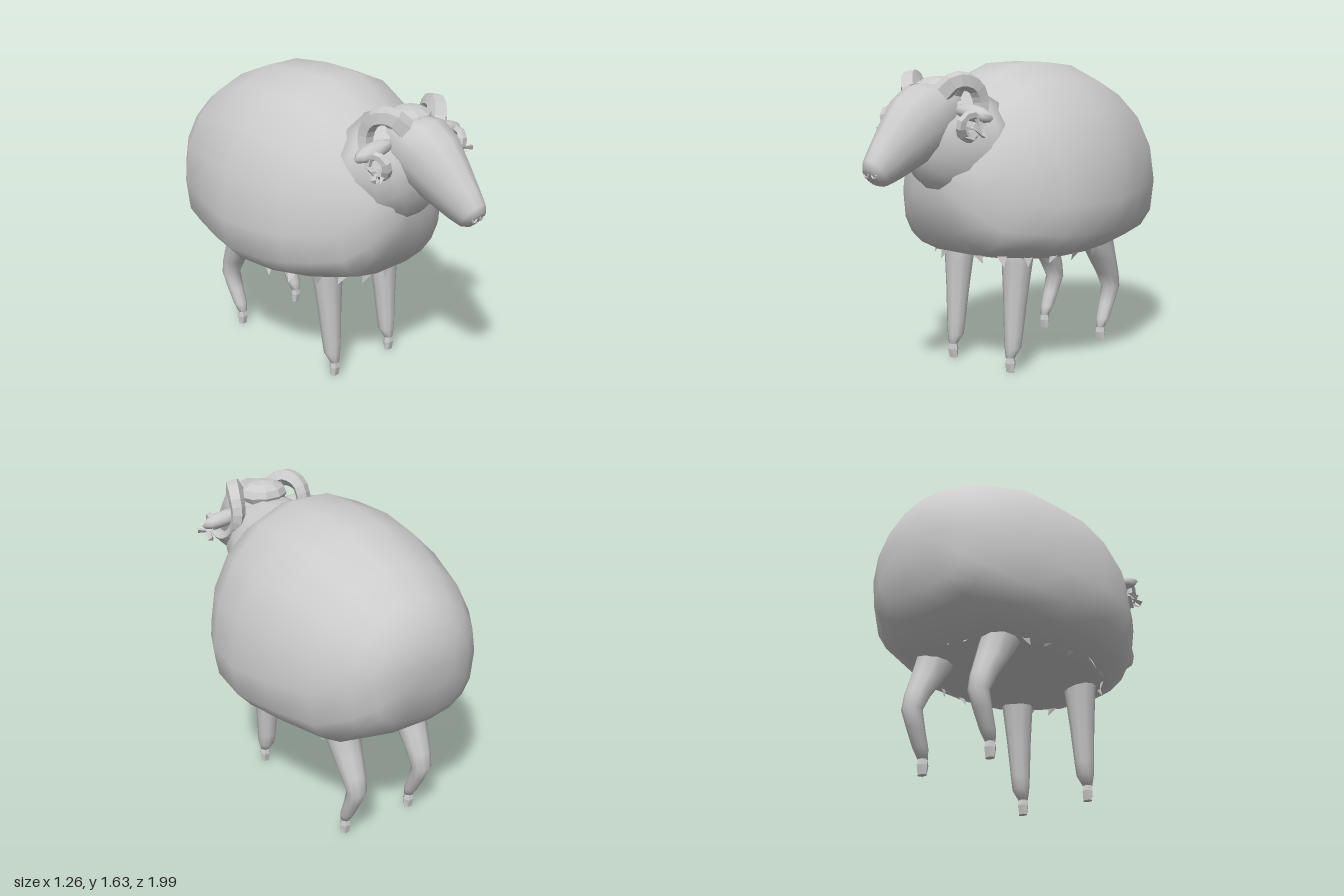
import * as THREE from 'three';

const grey = new THREE.MeshStandardMaterial({ color: 0xcccccc, side: THREE.DoubleSide });
const flat = new THREE.MeshStandardMaterial({ color: 0xcccccc, side: THREE.DoubleSide, flatShading: true });

function add(parent, name, geometry, material = grey) {
  const mesh = new THREE.Mesh(geometry, material);
  mesh.name = name;
  parent.add(mesh);
  return mesh;
}

// Skin over rings. Section: centre x, y, z, half width along x, half depth up, half depth down,
// tilt of the ring about x (0 = upright ring, PI/2 = level ring), squareness of the lower half.
function loft(sections, seg) {
  const pos = [], idx = [];
  for (const [cx, cy, cz, w, up, down = up, tilt = 0, low = 1] of sections) {
    for (let j = 0; j < seg; j++) {
      const a = (j / seg) * Math.PI * 2, c = Math.cos(a), s = Math.sin(a);
      const e = s < -1e-6 ? low : 1;
      const x = Math.sign(c) * Math.abs(c) ** e * w;
      const v = Math.sign(s) * Math.abs(s) ** e * (s > 0 ? up : down);
      pos.push(cx + x, cy + v * Math.cos(tilt), cz + v * Math.sin(tilt));
    }
  }
  const last = sections.length - 1;
  for (let i = 0; i < last; i++) {
    for (let j = 0; j < seg; j++) {
      const k = (j + 1) % seg, a = i * seg + j, b = i * seg + k;
      idx.push(a, b, a + seg, b, b + seg, a + seg);
    }
  }
  // end caps
  for (const [i, front] of [[0, false], [last, true]]) {
    const centre = pos.length / 3;
    pos.push(...sections[i].slice(0, 3));
    for (let j = 0; j < seg; j++) {
      const a = i * seg + j, b = i * seg + ((j + 1) % seg);
      idx.push(centre, front ? a : b, front ? b : a);
    }
  }
  const g = new THREE.BufferGeometry();
  g.setAttribute('position', new THREE.Float32BufferAttribute(pos, 3));
  g.setIndex(idx);
  g.computeVertexNormals();
  return g;
}

// Tube whose radius shrinks along its path
function taperedTube(points, steps, sides, r0, r1) {
  const path = new THREE.CatmullRomCurve3(points.map(p => new THREE.Vector3(...p)));
  const g = new THREE.TubeGeometry(path, steps, 1, sides);
  const p = g.attributes.position, v = new THREE.Vector3();
  for (let i = 0; i < p.count; i++) {
    const t = Math.floor(i / (sides + 1)) / steps, c = path.getPointAt(t);
    v.fromBufferAttribute(p, i).sub(c).multiplyScalar(r0 + (r1 - r0) * t).add(c);
    p.setXYZ(i, v.x, v.y, v.z);
  }
  g.computeVertexNormals();
  return g;
}

let seed = 7;
const rand = () => (seed = (seed * 16807) % 2147483647) / 2147483647;

export function createModel() {
  const sheep = new THREE.Group();
  sheep.name = 'sheep';

  // Woolly body, rump to chest: z, top, bottom, half width, height of widest point
  const rows = [
    [-0.99, 1.2, 0.96, 0.16, 1.08], [-0.95, 1.3, 0.8, 0.28, 1.05], [-0.88, 1.4, 0.71, 0.38, 1.02],
    [-0.72, 1.51, 0.61, 0.5, 0.97], [-0.46, 1.62, 0.6, 0.58, 0.95], [-0.22, 1.645, 0.59, 0.63, 0.93],
    [0.02, 1.64, 0.59, 0.6, 0.93], [0.14, 1.59, 0.6, 0.55, 0.93], [0.28, 1.49, 0.63, 0.47, 0.94],
    [0.4, 1.4, 0.66, 0.37, 0.95], [0.49, 1.28, 0.77, 0.27, 1.0], [0.55, 1.18, 0.92, 0.15, 1.05],
  ];
  add(sheep, 'body', loft(rows.map(([z, t, b, w, y]) => [0, y, z, w, t - y, y - b, 0, 0.68]), 18));

  // Neck rising from the chest into the skull
  add(sheep, 'neck', loft([
    [0, 1.2, 0.2, 0.34, 0.31, 0.3], [0, 1.22, 0.36, 0.3, 0.28, 0.3],
    [0, 1.24, 0.5, 0.24, 0.27, 0.28], [0, 1.27, 0.6, 0.17, 0.2, 0.22], [0, 1.3, 0.66, 0.1, 0.1, 0.14],
  ], 14));

  // Long sloping head
  const tilt = 0.65;
  add(sheep, 'head', loft([
    [0, 1.47, 0.4, 0.08, 0.06, 0.08, tilt], [0, 1.44, 0.46, 0.14, 0.13, 0.15, tilt],
    [0, 1.4, 0.56, 0.17, 0.18, 0.2, tilt], [0, 1.33, 0.66, 0.155, 0.19, 0.18, tilt],
    [0, 1.25, 0.77, 0.12, 0.155, 0.15, tilt], [0, 1.17, 0.88, 0.085, 0.115, 0.115, tilt],
    [0, 1.13, 0.94, 0.07, 0.085, 0.09, tilt], [0, 1.115, 0.965, 0.05, 0.055, 0.06, tilt],
  ], 12));

  // Wool tuft between the horns
  const tuft = add(sheep, 'pollTuft', new THREE.SphereGeometry(1, 10, 6), flat);
  tuft.scale.set(0.14, 0.07, 0.12);
  tuft.position.set(0, 1.51, 0.5);

  for (const s of [1, -1]) {
    const side = s > 0 ? 'left' : 'right';

    // Curled horn with a ragged end
    add(sheep, side + 'Horn', taperedTube([
      [s * 0.11, 1.5, 0.59], [s * 0.16, 1.56, 0.54], [s * 0.2, 1.54, 0.45], [s * 0.21, 1.45, 0.41],
      [s * 0.22, 1.35, 0.44], [s * 0.24, 1.29, 0.53], [s * 0.26, 1.32, 0.61], [s * 0.28, 1.39, 0.61],
      [s * 0.3, 1.4, 0.54], [s * 0.31, 1.35, 0.53],
    ], 22, 5, 0.055, 0.018), flat);
    for (let i = 0; i < 5; i++) {
      const tip = add(sheep, side + 'HornTip', new THREE.ConeGeometry(0.018, 0.08, 3), flat);
      tip.position.set(s * (0.27 + rand() * 0.06), 1.27 + rand() * 0.07, 0.54 + rand() * 0.08);
      tip.rotation.set(rand() * 6, 0, rand() * 6);
    }

    // Ear held out to the side
    const ear = add(sheep, side + 'Ear', new THREE.SphereGeometry(1, 8, 6));
    ear.scale.set(0.13, 0.042, 0.05);
    ear.position.set(s * 0.25, 1.405, 0.51);
    ear.rotation.z = -s * 0.15;

    // Nostril
    const nostril = add(sheep, side + 'Nostril', new THREE.TorusGeometry(0.016, 0.006, 4, 6), flat);
    nostril.position.set(s * 0.027, 1.125, 0.972);

    // Legs, top to hoof: y, z, half width, half depth
    const legs = {
      FrontLeg: [[0.75, 0.12, 0.095, 0.1], [0.6, 0.13, 0.085, 0.08], [0.4, 0.145, 0.065, 0.065],
        [0.2, 0.16, 0.05, 0.053], [0.13, 0.165, 0.045, 0.045], [0.08, 0.185, 0.025, 0.025]],
      HindLeg: [[0.8, -0.53, 0.11, 0.15], [0.64, -0.56, 0.095, 0.115], [0.5, -0.635, 0.08, 0.085],
        [0.4, -0.69, 0.068, 0.065], [0.31, -0.725, 0.055, 0.05], [0.22, -0.69, 0.047, 0.045],
        [0.13, -0.65, 0.04, 0.037], [0.08, -0.63, 0.025, 0.025]],
    };
    for (const [name, ring] of Object.entries(legs)) {
      add(sheep, side + name, loft(ring.map(([y, z, w, d]) =>
        [s * 0.21, y, z, w, d, d, Math.PI / 2]), 10));
      const z = ring[ring.length - 1][1];
      add(sheep, side + name + 'Hoof', loft([
        [s * 0.21, 0.085, z, 0.024, 0.022, 0.022, Math.PI / 2],
        [s * 0.21, 0.05, z, 0.03, 0.03, 0.03, Math.PI / 2],
        [s * 0.21, 0, z, 0.027, 0.02, 0.02, Math.PI / 2],
      ], 6), flat);
    }
  }

  // Ragged locks of wool along the lower hem
  for (let i = 0; i < 22; i++) {
    const a = (i / 22) * Math.PI * 2;
    const lock = add(sheep, 'woolLock', new THREE.ConeGeometry(0.06, 0.12, 3), flat);
    lock.scale.z = 0.35;
    lock.position.set(Math.sin(a) * 0.43, 0.64 + rand() * 0.02, -0.17 + Math.cos(a) * 0.53);
    lock.rotation.set(Math.PI - 0.5 + rand(), a, (rand() - 0.5) * 1.4, 'YXZ');
  }
  return sheep;
}
